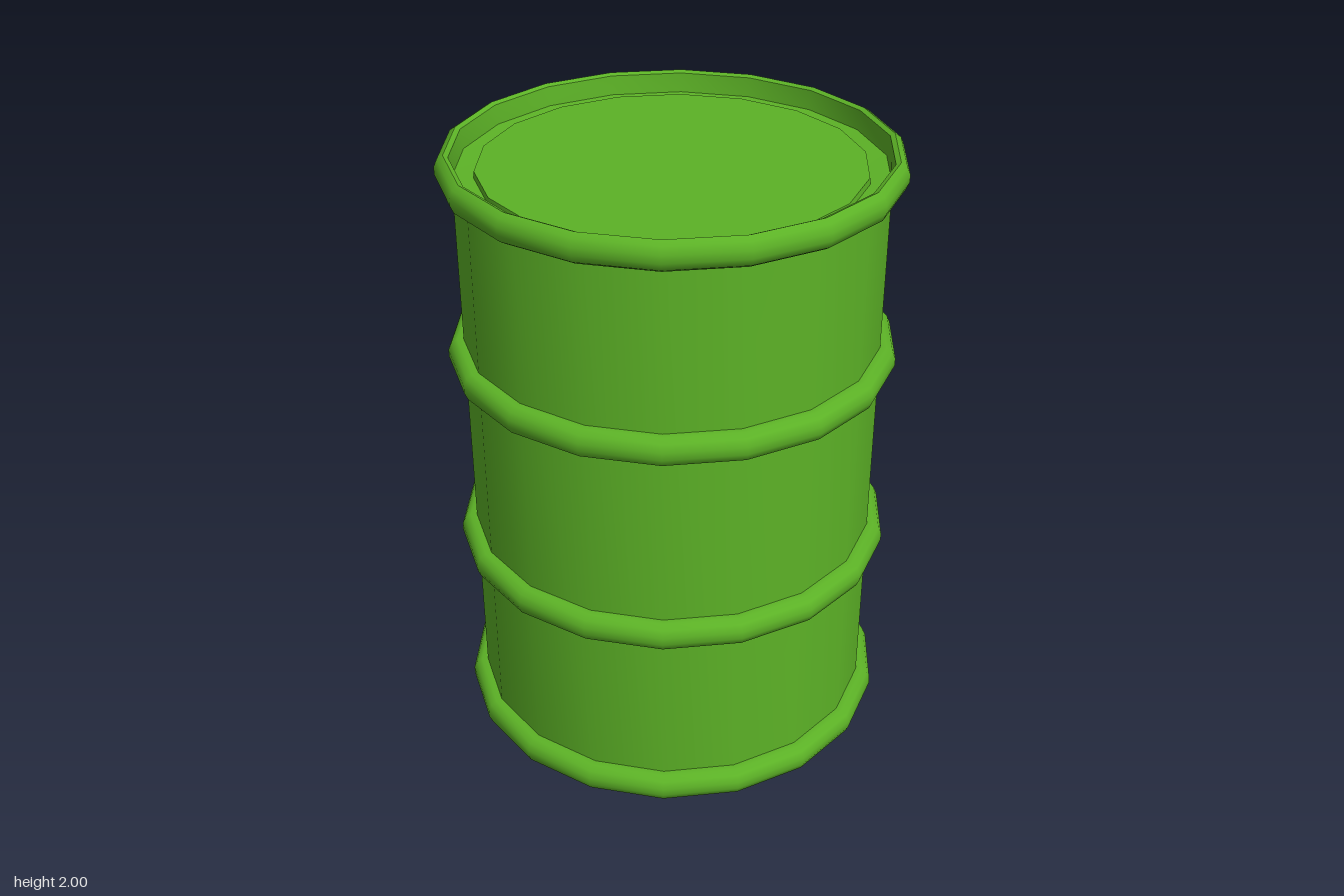
import * as THREE from 'three';
import { toCreasedNormals } from 'three/addons/utils/BufferGeometryUtils.js';

const SIDES = 18;
const BODY = 0.665;
const HALF = 0.047; // half the height of a hoop

export function createModel() {
  const group = new THREE.Group();
  const paint = new THREE.MeshStandardMaterial({ color: 0x5cb226 });

  // Spins a profile of [radius, y] points into an 18-sided part, with a corner on +x
  function turned(name, profile) {
    const points = profile.map(([r, y]) => new THREE.Vector2(r, y));
    const lathe = new THREE.LatheGeometry(points, SIDES, Math.PI / 2);
    const mesh = new THREE.Mesh(toCreasedNormals(lathe, 0.8), paint);
    mesh.name = name;
    group.add(mesh);
  }

  // Rounded outer side of a hoop, from bottom to top
  const hoop = (y) => [
    [0.686, y - HALF], [0.705, y - 0.035], [0.715, y - 0.012],
    [0.715, y + 0.012], [0.705, y + 0.035], [0.686, y + HALF],
  ];

  // Drum wall
  turned('wall', [[BODY, 0.05], [BODY, 1.95]]);

  // Bottom hoop, closed by the flat base
  turned('baseHoop', [[0, 0], ...hoop(HALF), [BODY, 2 * HALF]]);

  // Two hoops around the middle
  for (const [name, y] of [['lowerHoop', 0.67], ['upperHoop', 1.338]]) {
    turned(name, [[BODY, y - HALF], ...hoop(y), [BODY, y + HALF]]);
  }

  // Top hoop with its inner lip and the groove around the lid
  const top = 2 - HALF;
  turned('topRim', [
    [BODY, top - HALF], ...hoop(top),
    [0.671, 1.993], [0.664, 1.93], [0.6, 1.925],
  ]);

  // Slightly raised lid inside the rim
  turned('lid', [[0.6, 1.925], [0.598, 1.945], [0, 1.945]]);

  return group;
}
